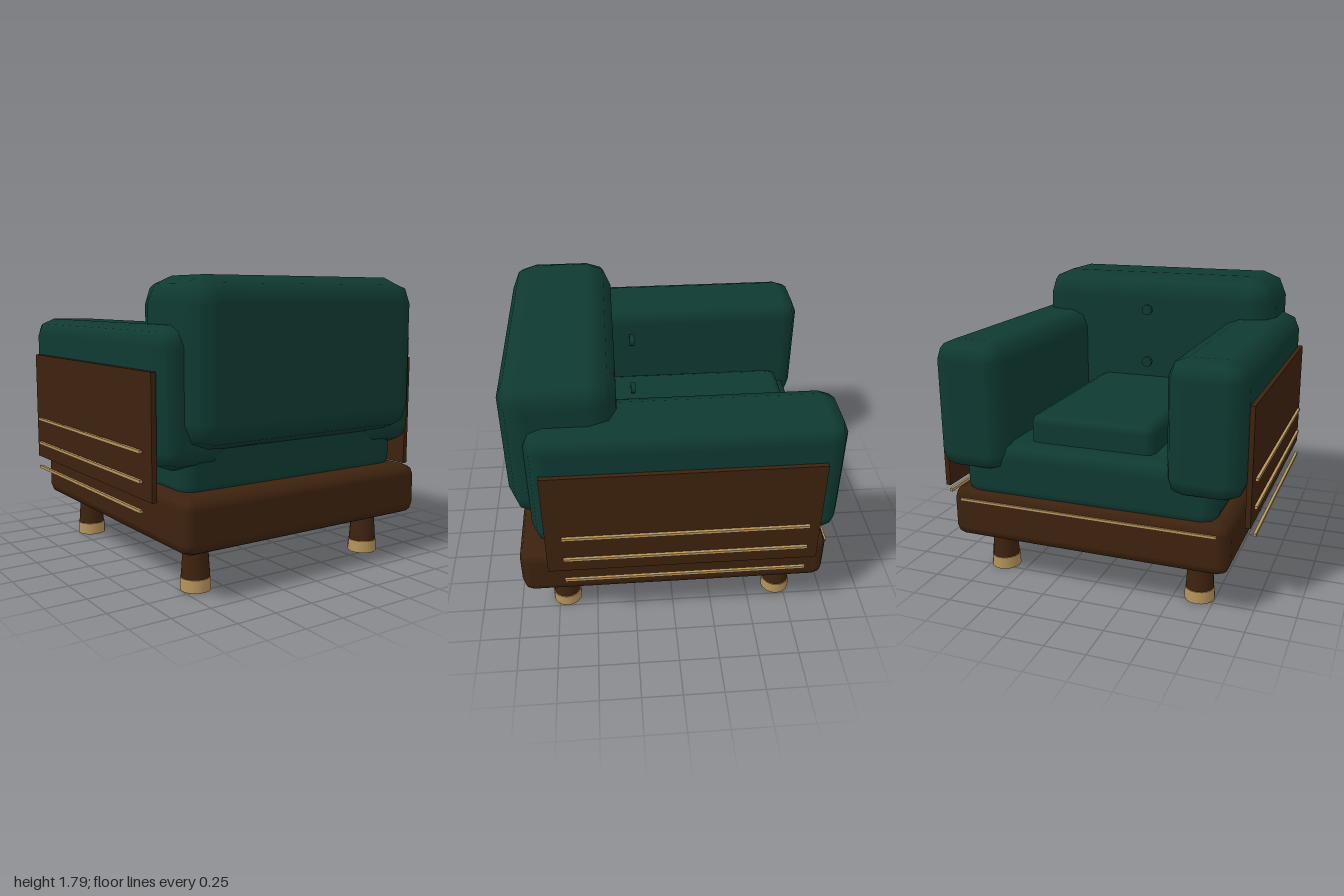
import * as THREE from 'three';
import { RoundedBoxGeometry } from 'three/addons/geometries/RoundedBoxGeometry.js';

export function createModel() {
  const chair = new THREE.Group();
  chair.name = 'armchair';

  const material = (name, color) => {
    const m = new THREE.MeshStandardMaterial({ color });
    m.name = name;
    return m;
  };
  const fabric = material('green fabric', 0x0f3a32);
  const wood = material('dark wood', 0x3d220e);
  const brass = material('brass', 0xb8955c);

  const add = (name, geometry, mat, x, y, z) => {
    const mesh = new THREE.Mesh(geometry, mat);
    mesh.name = name;
    mesh.position.set(x, y, z);
    chair.add(mesh);
    return mesh;
  };

  // Boxes are given by their lower and upper corners; radius 0 keeps them sharp
  const block = (name, mat, [x0, y0, z0], [x1, y1, z1], radius = 0) => {
    const size = [x1 - x0, y1 - y0, z1 - z0];
    const geometry = radius
      ? new RoundedBoxGeometry(...size, 1, radius)
      : new THREE.BoxGeometry(...size);
    return add(name, geometry, mat, (x0 + x1) / 2, (y0 + y1) / 2, (z0 + z1) / 2);
  };

  // Plinth with a brass line along the open side of the seat
  block('base', wood, [-0.88, 0.275, -0.957], [0.88, 0.6, 0.957], 0.07);
  block('baseTrim', brass, [-0.81, 0.522, -0.966], [0.81, 0.538, -0.95]);

  // Upholstery
  block('seatDeck', fabric, [-0.8, 0.54, -0.93], [0.8, 0.91, 0.82], 0.09);
  block('seatCushion', fabric, [-0.393, 0.84, -0.82], [0.393, 1.08, 0.5], 0.055);
  block('backrest', fabric, [-0.83, 0.83, 0.32], [0.83, 1.79, 0.982], 0.16);

  // Buttons on the seat side of the backrest
  for (const y of [1.21, 1.57]) {
    const button = add('backButton', new THREE.CylinderGeometry(0.035, 0.035, 0.03, 12), fabric, 0, y, 0.203);
    button.rotation.x = Math.PI / 2;
  }

  for (const side of [-1, 1]) {
    const label = side > 0 ? 'left' : 'right';
    const sideBlock = (name, mat, a, b, radius) => {
      const mesh = block(label + name, mat, a, b, radius);
      mesh.position.x *= side;
    };

    // Arm, outer wooden panel and its three brass strips
    sideBlock('Arm', fabric, [0.493, 0.722, -0.982], [0.95, 1.52, 0.85], 0.115);
    sideBlock('SidePanel', wood, [0.947, 0.565, -0.857], [0.978, 1.277, 0.773]);
    for (const y of [0.5, 0.668, 0.835]) {
      sideBlock('PanelStrip', brass, [0.982, y - 0.009, -0.79], [1, y + 0.009, 0.675]);
    }

    // Tapered legs with brass feet
    for (const z of [-0.703, 0.697]) {
      add(label + 'Leg', new THREE.CylinderGeometry(0.07, 0.087, 0.24, 16), wood, side * 0.657, 0.19, z);
      add(label + 'Foot', new THREE.CylinderGeometry(0.092, 0.092, 0.077, 16), brass, side * 0.657, 0.0385, z);
    }
  }

  return chair;
}
